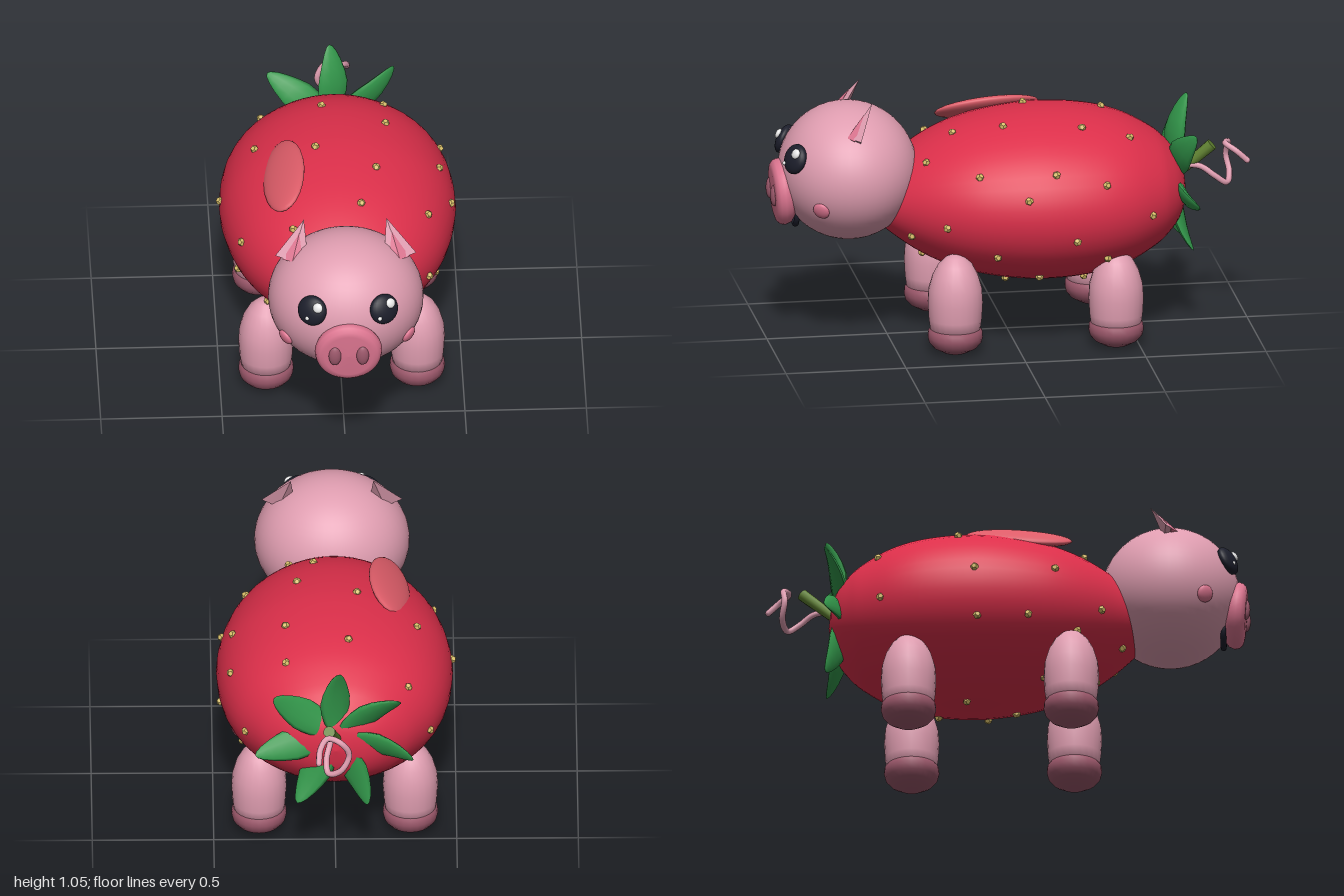
import * as THREE from 'three';

const mat = (name, color) => Object.assign(new THREE.MeshStandardMaterial({ color }), { name });

export function createModel() {
  const root = new THREE.Group();
  root.name = 'strawberryPig';
  const skin = mat('skin pink', 0xdf9db0), red = mat('berry red', 0xdc2f4a);
  const patchRed = mat('pale red', 0xdc5c68), hoofMat = mat('hoof mauve', 0x9c586b);
  const seedMat = mat('seed yellow', 0xd6bd68), leafMat = mat('leaf green', 0x32964a);
  const stemMat = mat('stem green', 0x5f8030), dark = mat('eye black', 0x1c1e2b);
  const white = mat('highlight white', 0xf2f2f2), rose = mat('rose pink', 0xdc7590);

  const add = (name, geo, m, pos = [0, 0, 0], parent = root) => {
    const mesh = new THREE.Mesh(geo, m);
    mesh.name = name;
    mesh.position.set(...pos);
    parent.add(mesh);
    return mesh;
  };
  const ball = (name, m, pos, size, w = 24, h = 16) => {
    const mesh = add(name, new THREE.SphereGeometry(1, w, h), m, pos);
    mesh.scale.set(...size);
    return mesh;
  };
  const lathe = (pts, seg) => new THREE.LatheGeometry(pts.map(p => new THREE.Vector2(...p)), seg);

  // Berry body: a lathe laid along z, flattened in y
  const BODY_Y = 0.59, FLAT = 0.73;
  const profile = [[0, -0.74], [0.12, -0.725], [0.205, -0.695], [0.275, -0.65], [0.33, -0.6], [0.405, -0.5],
    [0.45, -0.4], [0.474, -0.3], [0.485, -0.2], [0.486, -0.1], [0.474, 0], [0.452, 0.1], [0.418, 0.2],
    [0.365, 0.3], [0.29, 0.4], [0.19, 0.5], [0.12, 0.55], [0, 0.6]];
  const smooth = new THREE.SplineCurve(profile.map(p => new THREE.Vector2(...p))).getPoints(51);
  smooth.forEach(p => { p.x = Math.max(0, p.x); });
  add('body', new THREE.LatheGeometry(smooth, 48).rotateX(Math.PI / 2).scale(1, FLAT, 1), red, [0, BODY_Y, 0]);
  const radiusAt = z => {
    const i = profile.findIndex(p => p[1] >= z), [r0, z0] = profile[i - 1], [r1, z1] = profile[i];
    return r0 + (r1 - r0) * (z - z0) / (z1 - z0);
  };

  // Pale patch on the back
  const patch = ball('patch', patchRed, [-0.228, 0.886, 0.05], [0.1, 0.03, 0.218]);
  patch.rotation.set(0.08, 0, 0.6);

  // Seeds: z position and angle in degrees from the top towards +x
  const seeds = [[-0.53, -51], [-0.48, 29], [-0.55, 95], [-0.4, -7], [-0.35, 67], [-0.28, 25], [-0.22, 105],
    [-0.2, -44], [-0.08, -11], [-0.13, -82], [-0.02, 75], [0.04, 19], [0.2, -76], [0.17, 57], [0.24, 12],
    [0.315, -34], [0.365, 35], [0.39, -106], [-0.14, 59], [0.305, 99], [0.1, 120], [0.43, 125], [0.47, -154],
    [0.36, 172], [0.03, 162], [-0.09, 144], [-0.17, -175], [-0.29, 157], [0.29, -126], [0.09, -114],
    [0.15, -160], [-0.12, -115], [0.23, 149], [-0.4, -130], [-0.5, 172], [-0.52, -98], [-0.36, 125]];
  const seedGeo = new THREE.DodecahedronGeometry(0.017);
  seeds.forEach(([z, deg], i) => {
    const a = deg * Math.PI / 180, r = radiusAt(z) + 0.004;
    const s = add('seed', seedGeo, seedMat, [r * Math.sin(a), BODY_Y + FLAT * r * Math.cos(a), z]);
    s.rotation.set(i, i * 2, 0);
  });

  // Legs and hooves
  const legGeo = lathe([[0, 0.07], [0.1, 0.08], [0.11, 0.15], [0.114, 0.22], [0.11, 0.28], [0.094, 0.335],
    [0.07, 0.38], [0.04, 0.41], [0.018, 0.419], [0, 0.421]], 24);
  const hoofGeo = lathe([[0, 0], [0.05, 0.005], [0.09, 0.027], [0.108, 0.048], [0.114, 0.072], [0.112, 0.095],
    [0.1, 0.112], [0.08, 0.117], [0, 0.118]], 24);
  for (const [end, z, drop] of [['front', 0.265, 0], ['back', -0.405, -0.012]])
    for (const x of [-0.31, 0.313]) {
      add(end + 'Leg', legGeo, skin, [x, drop, z]);
      add(end + 'Hoof', hoofGeo, hoofMat, [x, 0, z]);
    }

  // Head
  const HEAD = [0.003, 0.715, 0.665], R = [0.32, 0.285, 0.288];
  ball('head', skin, HEAD, R, 48, 32);
  const onHead = (x, y, lift = 0) => {
    const u = (x - HEAD[0]) / R[0], v = (y - HEAD[1]) / R[1], w = Math.sqrt(1 - u * u - v * v);
    const n = new THREE.Vector3(u / R[0], v / R[1], w / R[2]).normalize();
    return { n, p: new THREE.Vector3(x, y, HEAD[2] + R[2] * w).addScaledVector(n, lift) };
  };
  // Flattened ball lying on the head, facing outwards
  const button = (name, m, x, y, size, lift) => {
    const { n, p } = onHead(x, y, lift), b = ball(name, m, p.toArray(), size);
    b.quaternion.setFromUnitVectors(new THREE.Vector3(0, 0, 1), n);
  };
  for (const s of [-1, 1]) {
    const ex = 0.003 + s * 0.146;
    button('eye', dark, ex, 0.812, [0.063, 0.063, 0.03], 0.004);
    button('eyeHighlight', white, ex + (s < 0 ? 0.03 : 0.015), 0.831, [0.021, 0.021, 0.012], 0.03);
    button('eyeGlint', white, ex + (s < 0 ? -0.01 : -0.026), 0.786, [0.009, 0.009, 0.007], 0.029);
    button('cheek', rose, 0.003 + s * 0.252, 0.618, [0.036, 0.036, 0.016], 0.002);
  }

  // Snout disc with rounded rim, nostrils and smile
  const snout = add('snout', lathe([[0, -0.045], [0.11, -0.04], [0.13, -0.025], [0.139, 0], [0.134, 0.02],
    [0.12, 0.033], [0.1, 0.038], [0, 0.042]], 40).rotateX(Math.PI / 2), rose, [0.003, 0.633, 0.94]);
  snout.rotation.x = 0.08;
  for (const s of [-1, 1]) ball('nostril', hoofMat, [0.003 + s * 0.057, 0.634, 0.978], [0.026, 0.046, 0.018]);
  const smile = add('mouth', new THREE.TorusGeometry(0.065, 0.012, 8, 20, Math.PI), dark, [0.003, 0.558, 0.885]);
  smile.rotation.z = Math.PI;

  // Ears: flattened four-sided cones leaning back, with a rose inner cone
  const orient = (mesh, dir, face) => {
    const y = dir.clone().normalize(), x = y.clone().cross(face).normalize();
    mesh.quaternion.setFromRotationMatrix(new THREE.Matrix4().makeBasis(x, y, x.clone().cross(y)));
  };
  const ear = (name, m, s, base, tip, radius) => {
    const b = new THREE.Vector3(s * base[0] + 0.003, base[1], base[2]);
    const t = new THREE.Vector3(s * tip[0] + 0.003, tip[1], tip[2]), d = t.clone().sub(b);
    const geo = new THREE.ConeGeometry(radius, d.length(), 4).scale(1, 1, 0.42).toNonIndexed();
    geo.computeVertexNormals();
    const mesh = add(name, geo, m, b.add(t).multiplyScalar(0.5).toArray());
    orient(mesh, d, new THREE.Vector3(s * 0.25, 0, 1));
  };
  for (const s of [-1, 1]) {
    ear('ear', skin, s, [0.222, 0.9, 0.67], [0.17, 1.047, 0.588], 0.072);
    ear('innerEar', rose, s, [0.219, 0.905, 0.686], [0.19, 1.005, 0.625], 0.044);
  }

  // Leaf crown: pointed blades around the stem
  const leafGeo = new THREE.SphereGeometry(1, 10, 10);
  const lp = leafGeo.attributes.position;
  for (let i = 0; i < lp.count; i++) {
    const y = lp.getY(i), taper = y > 0 ? 1 - 0.35 * y : 1;
    lp.setXYZ(i, lp.getX(i) * 0.068 * taper, y * 0.165, lp.getZ(i) * 0.022 * taper - 0.03 * y * y);
  }
  leafGeo.computeVertexNormals();
  const crown = new THREE.Group();
  crown.name = 'leafCrown';
  crown.position.set(0.003, 0.64, -0.7);
  root.add(crown);
  for (let i = 0; i < 7; i++) {
    const arm = new THREE.Group();
    arm.name = 'leafArm';
    arm.rotation.z = i * Math.PI * 2 / 7;
    crown.add(arm);
    const leaf = add('leaf', leafGeo, leafMat, [0, 0.175, 0], arm);
    leaf.rotation.set(-0.15, 0.45, 0);
  }

  // Stem and curly tail
  const vec = a => new THREE.Vector3(...a);
  const s0 = vec([-0.008, 0.62, -0.7]), s1 = vec([0.028, 0.757, -0.85]), sd = s1.clone().sub(s0);
  const stem = add('stem', new THREE.CylinderGeometry(0.025, 0.02, sd.length(), 10), stemMat,
    s0.clone().add(s1).multiplyScalar(0.5).toArray());
  stem.quaternion.setFromUnitVectors(new THREE.Vector3(0, 1, 0), sd.normalize());
  const path = new THREE.CatmullRomCurve3([[0.01, 0.67, -0.71], [0.025, 0.665, -0.8], [0.04, 0.625, -0.86],
    [0.03, 0.592, -0.91], [-0.02, 0.62, -0.93], [-0.053, 0.69, -0.92], [-0.02, 0.75, -0.925],
    [0.035, 0.76, -0.905], [0.065, 0.735, -0.945], [0.072, 0.695, -0.99]].map(vec));
  add('tail', new THREE.TubeGeometry(path, 60, 0.013, 8), skin);
  ball('tailTip', skin, [0.072, 0.695, -0.99], [0.013, 0.013, 0.013], 8, 6);
  return root;
}
